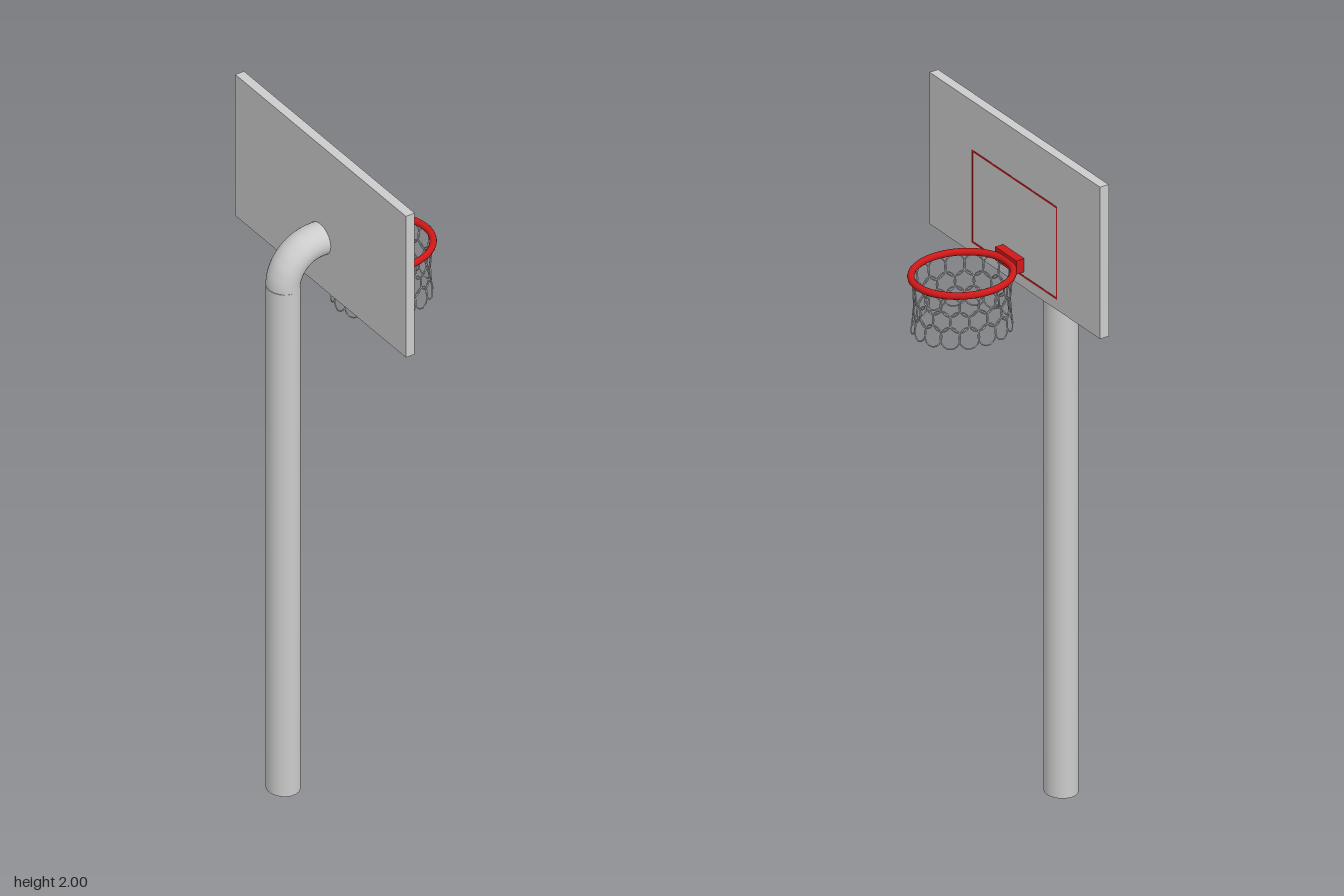
import * as THREE from 'three';

const grey = new THREE.MeshStandardMaterial({ color: 0xcccccc });
const red = new THREE.MeshStandardMaterial({ color: 0xd01818 });
const cord = new THREE.MeshStandardMaterial({ color: 0xcccccc });

function add(parent, name, geometry, material, x = 0, y = 0, z = 0) {
  const mesh = new THREE.Mesh(geometry, material);
  mesh.name = name;
  mesh.position.set(x, y, z);
  parent.add(mesh);
  return mesh;
}

export function createModel() {
  const model = new THREE.Group();
  model.name = 'basketballHoop';

  // Pole: straight post bending forward into a short arm
  const poleX = -0.208, armY = 1.704, bend = 0.105, poleR = 0.045;
  const path = new THREE.CurvePath();
  const corner = [];
  for (let i = 0; i <= 16; i++) {
    const a = (i / 16) * Math.PI / 2;
    corner.push(new THREE.Vector3(poleX + bend * (1 - Math.cos(a)), armY - bend * (1 - Math.sin(a)), 0));
  }
  path.add(new THREE.LineCurve3(new THREE.Vector3(poleX, 0, 0), corner[0]));
  for (let i = 0; i < 16; i++) path.add(new THREE.LineCurve3(corner[i], corner[i + 1]));
  path.add(new THREE.LineCurve3(corner[16], new THREE.Vector3(-0.08, armY, 0)));
  const pole = new THREE.Group();
  pole.name = 'pole';
  pole.position.z = -0.002;
  pole.scale.z = 1.1;
  model.add(pole);
  add(pole, 'post', new THREE.CylinderGeometry(poleR, poleR, armY - bend, 32), grey, poleX, (armY - bend) / 2);
  const arm = new THREE.CurvePath();
  path.curves.slice(1).forEach((c) => arm.add(c));
  add(pole, 'arm', new THREE.TubeGeometry(arm, 24, poleR, 32), grey);

  // Backboard and the target outline on its face
  add(model, 'backboard', new THREE.BoxGeometry(0.028, 0.45, 0.808), grey, -0.075, 1.775, -0.001);
  const outline = new THREE.Group();
  outline.name = 'targetOutline';
  model.add(outline);
  const line = 0.005, faceX = -0.061;
  for (const y of [1.583, 1.853]) {
    add(outline, 'outlineBar', new THREE.BoxGeometry(0.002, line, 0.405), red, faceX, y, 0);
  }
  for (const z of [-0.2, 0.2]) {
    add(outline, 'outlineSide', new THREE.BoxGeometry(0.002, 0.27, line), red, faceX, 1.718, z);
  }

  // Rim and its mounting bracket
  const cx = 0.103, cz = 0.004, rx = 0.14, rz = 0.125, rimY = 1.617;
  add(model, 'bracket', new THREE.BoxGeometry(0.026, 0.04, 0.1), red, -0.049, rimY, cz);
  const rimGeometry = new THREE.TorusGeometry(rx, 0.01, 12, 64);
  rimGeometry.rotateX(Math.PI / 2);
  const rim = add(model, 'rim', rimGeometry, red, cx, rimY, cz);
  rim.scale.z = rz / rx;

  // Net: staggered rows of oval cord loops wrapped around a slightly waisted sleeve
  const net = new THREE.Group();
  net.name = 'net';
  model.add(net);
  const around = 16, rows = 3, loopH = 0.031, pitch = 0.046;
  const halfAngle = (Math.PI / around) * 1.08;
  const onNet = (angle, y) => {
    const t = (rimY - y) / 0.16;
    const s = 1 - 0.2 * t * (1 - t);
    return new THREE.Vector3(cx + rx * s * Math.cos(angle), y, cz + rz * s * Math.sin(angle));
  };
  for (let row = 0; row < rows; row++) {
    for (let i = 0; i < around; i++) {
      const a0 = ((i + row / 2) / around) * Math.PI * 2;
      const y0 = 1.581 - row * pitch;
      const points = [];
      for (let k = 0; k < 12; k++) {
        const t = (k / 12) * Math.PI * 2;
        points.push(onNet(a0 + halfAngle * Math.cos(t), y0 + loopH * Math.sin(t)));
      }
      const curve = new THREE.CatmullRomCurve3(points, true);
      add(net, 'netLoop', new THREE.TubeGeometry(curve, 24, 0.002, 5, true), cord);
    }
  }
  return model;
}
